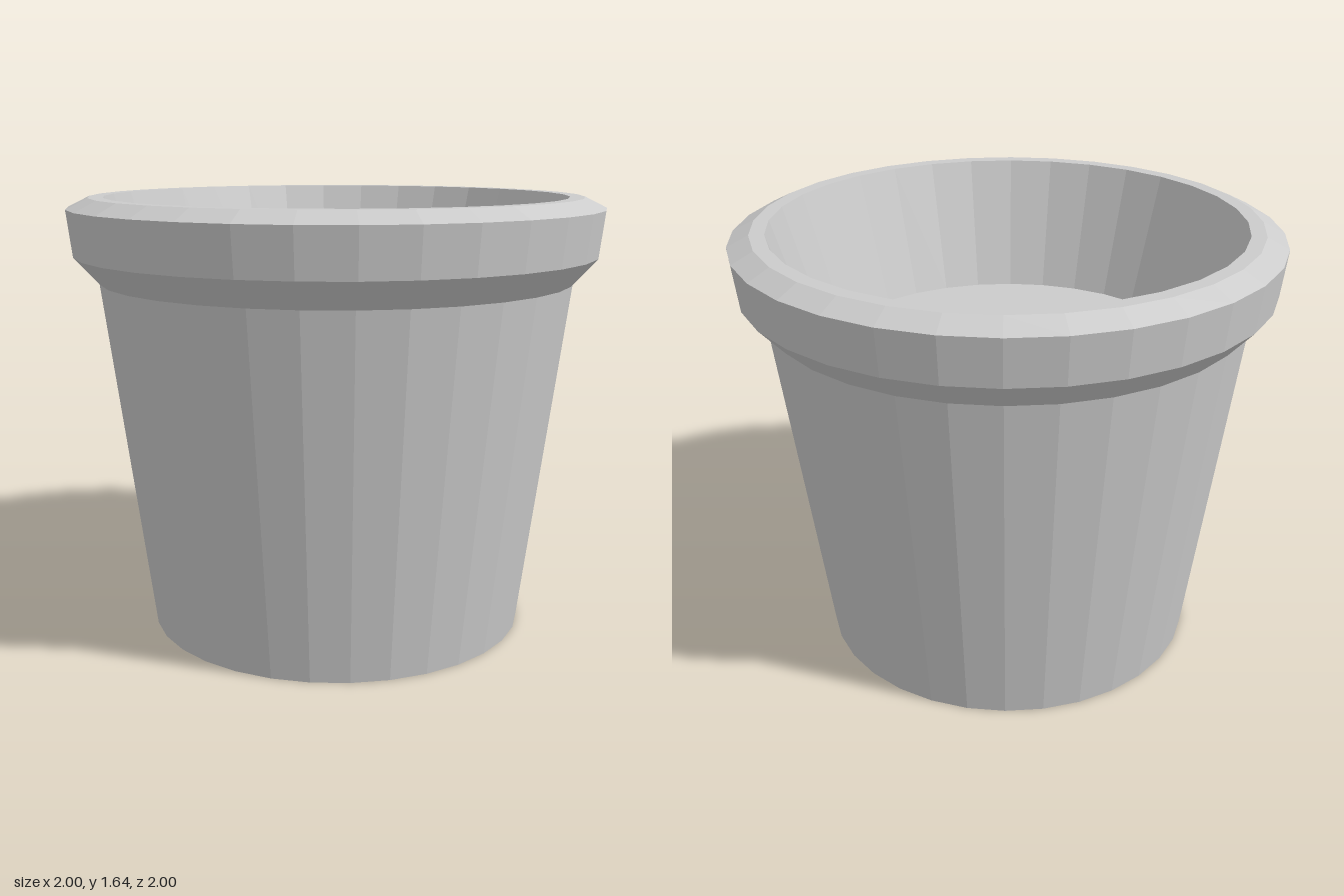
import * as THREE from 'three';

const SIDES = 32;

export function createModel() {
  const group = new THREE.Group();
  group.name = 'flowerPot';
  const material = new THREE.MeshStandardMaterial({ color: 0xcccccc, flatShading: true });

  const add = (name, geometry) => {
    const mesh = new THREE.Mesh(geometry, material);
    mesh.name = name;
    group.add(mesh);
    return mesh;
  };
  // Ring of flat facets from a [radius, height] profile
  const turned = (name, profile) =>
    add(name, new THREE.LatheGeometry(profile.map(([r, y]) => new THREE.Vector2(r, y)), SIDES));
  // Flat disc facing up (1) or down (-1)
  const disc = (name, radius, y, facing) => {
    const mesh = add(name, new THREE.CircleGeometry(radius, SIDES).rotateX(-facing * Math.PI / 2));
    mesh.position.y = y;
  };

  // Tapered outer wall
  turned('body', [[0.72, 0], [0.89, 1.33]]);
  // Collar with sloped underside, bevelled top and flat lip
  turned('rim', [[0.89, 1.33], [0.98, 1.43], [1, 1.6], [0.92, 1.64], [0.865, 1.64]]);
  // Inside wall running down to the raised floor
  turned('innerWall', [[0.865, 1.64], [0.715, 1.14]]);
  disc('innerFloor', 0.715, 1.14, 1);
  disc('base', 0.72, 0, -1);

  return group;
}
